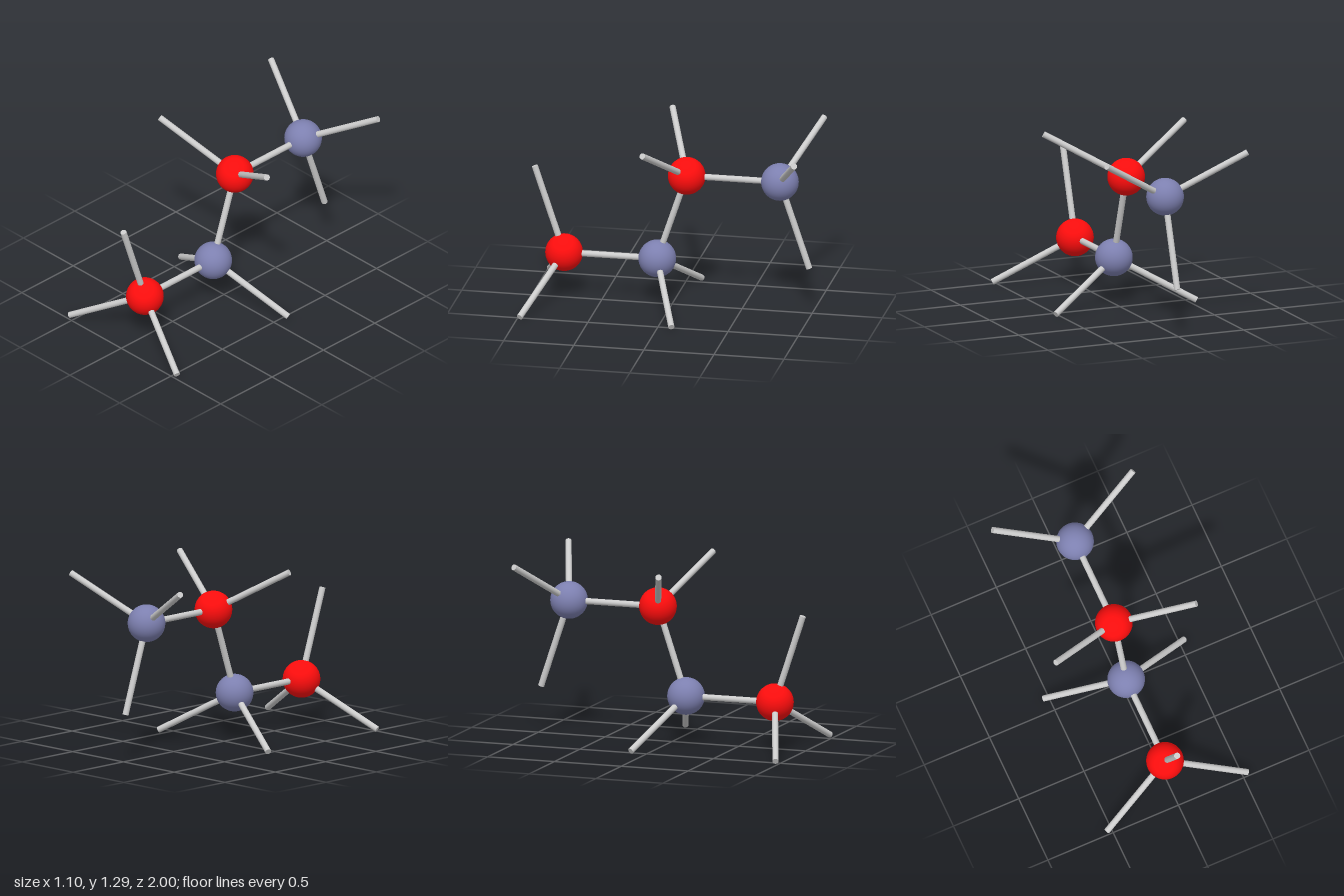
import * as THREE from 'three';

const ATOM_RADIUS = 0.132;
const ROD_RADIUS = 0.022;
const LOW = 0.332, HIGH = 0.957; // heights of the two atom rows
const OUTER = 0.77, INNER = 0.105; // distances of the atoms from the centre
const SPREAD = 0.539, RISE = 0.3125, LEAN = 0.209; // offsets of the free rod ends

const v = (x, y, z) => new THREE.Vector3(x, y, z);

export function createModel() {
  const model = new THREE.Group();
  model.name = 'crystalCell';

  const red = new THREE.MeshStandardMaterial({ color: 0xff0d0d });
  const blue = new THREE.MeshStandardMaterial({ color: 0x7d80b0 });
  const grey = new THREE.MeshStandardMaterial({ color: 0xcccccc });
  const sphere = new THREE.SphereGeometry(ATOM_RADIUS, 48, 32);

  function addAtom(name, position, material) {
    const atom = new THREE.Mesh(sphere, material);
    atom.name = name;
    atom.position.copy(position);
    model.add(atom);
  }

  // Round rod between two points
  function addRod(name, from, to) {
    const dir = to.clone().sub(from);
    const rod = new THREE.Mesh(
      new THREE.CylinderGeometry(ROD_RADIUS, ROD_RADIUS, dir.length(), 24), grey);
    rod.name = name;
    rod.position.copy(from).add(to).multiplyScalar(0.5);
    rod.quaternion.setFromUnitVectors(v(0, 1, 0), dir.normalize());
    model.add(rod);
  }

  // Zigzag chain of atoms; up and out give the direction of the free side rods
  const atoms = [
    { name: 'frontRedAtom', at: v(0, LOW, OUTER), material: red, up: -1, out: 1 },
    { name: 'lowerBlueAtom', at: v(0, LOW, INNER), material: blue, up: -1, out: -1 },
    { name: 'upperRedAtom', at: v(0, HIGH, -INNER), material: red, up: 1, out: 1 },
    { name: 'backBlueAtom', at: v(0, HIGH, -OUTER), material: blue, up: 1, out: -1 },
  ];

  atoms.forEach(({ name, at, material, up, out }, i) => {
    addAtom(name, at, material);
    if (i > 0) addRod('chainBond', atoms[i - 1].at, at);
    for (const side of [-1, 1]) {
      addRod(side > 0 ? 'leftSideBond' : 'rightSideBond', at,
        at.clone().add(v(side * SPREAD, up * RISE, out * LEAN)));
    }
  });

  // Free rods at both ends of the chain
  addRod('frontEndBond', atoms[0].at, v(0, HIGH, OUTER + LEAN));
  addRod('backEndBond', atoms[3].at, v(0, LOW, -OUTER - LEAN));

  return model;
}
